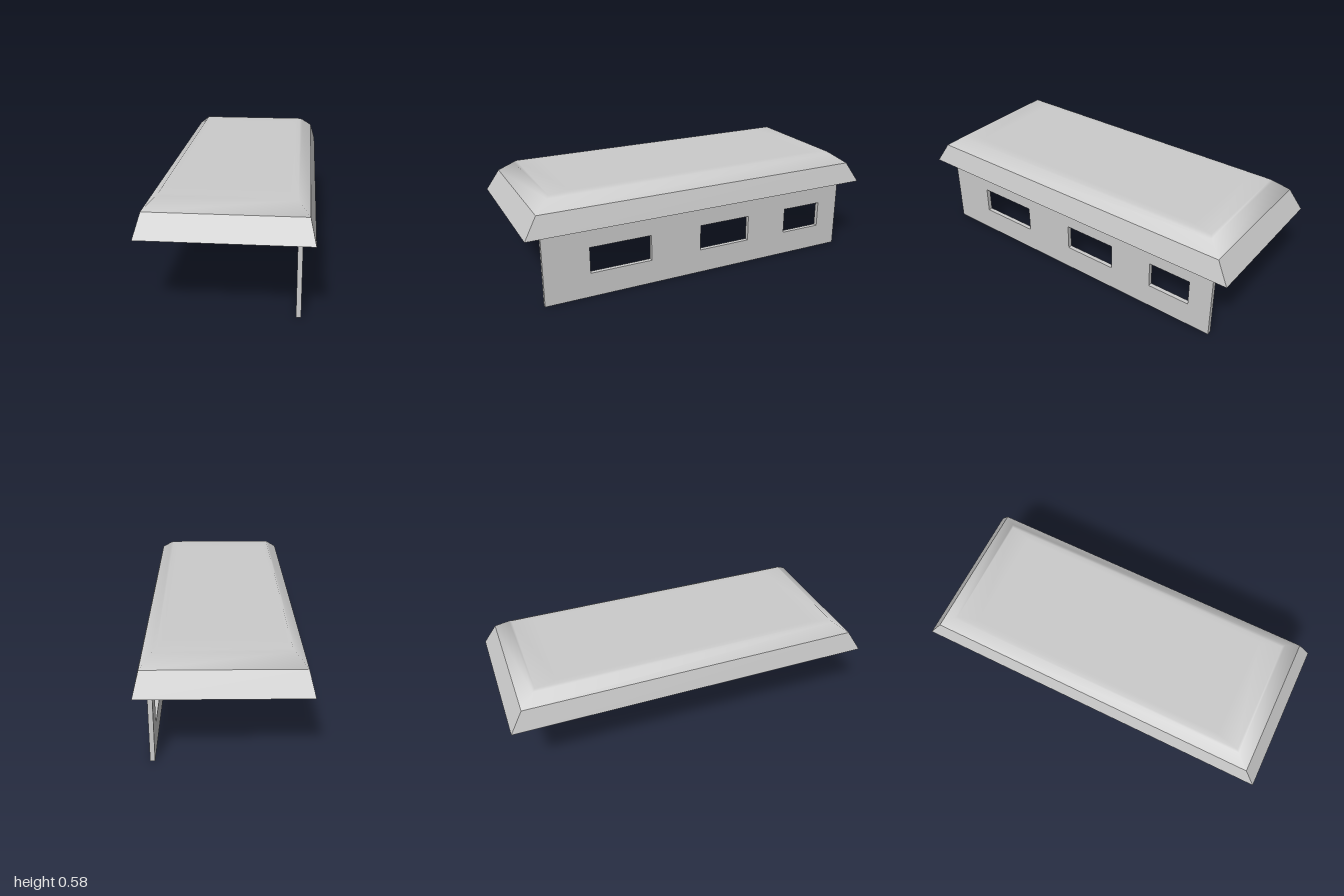
import * as THREE from 'three';

const material = new THREE.MeshStandardMaterial({ color: 0xcccccc });

// Rectangular loops [left x, right x, half depth, y], joined from bottom to top and capped
function loft(loops, capTop, capBottom) {
  const positions = [], index = [];
  for (const [l, r, z, y] of loops) positions.push(l, y, z, r, y, z, r, y, -z, l, y, -z);
  for (let i = 0; i < loops.length - 1; i++) {
    for (let j = 0; j < 4; j++) {
      const a = i * 4 + j, b = i * 4 + (j + 1) % 4;
      index.push(a, b, b + 4, a, b + 4, a + 4);
    }
  }
  const t = (loops.length - 1) * 4;
  if (capTop) index.push(t, t + 1, t + 2, t, t + 2, t + 3);
  if (capBottom) index.push(0, 2, 1, 0, 3, 2);
  const geometry = new THREE.BufferGeometry();
  geometry.setAttribute('position', new THREE.Float32BufferAttribute(positions, 3));
  geometry.setIndex(index);
  return geometry;
}

function addMesh(group, name, geometry) {
  const mesh = new THREE.Mesh(geometry, material);
  mesh.name = name;
  group.add(mesh);
  return mesh;
}

export function createModel() {
  const model = new THREE.Group();
  model.name = 'roofAndWall';

  // Sloping eaves with crisp edges and a flat underside
  const eaves = loft([
    [-0.417, 0.417, 1, 0.4],
    [-0.388, 0.388, 0.93, 0.514],
  ], false, true).toNonIndexed();
  eaves.computeVertexNormals();
  addMesh(model, 'roofEaves', eaves);

  // Softly shaded upper roof
  const crown = loft([
    [-0.388, 0.388, 0.93, 0.514],
    [-0.331, 0.33, 0.854, 0.567],
    [-0.32, 0.31, 0.84, 0.577],
    [-0.29, 0.28, 0.72, 0.577],
  ], true, false);
  crown.computeVertexNormals();
  addMesh(model, 'roofTop', crown);

  // Side wall drawn in (-z, y), then turned to run along the depth
  const rectangle = (path, z0, z1, y0, y1) => {
    path.moveTo(-z0, y0);
    path.lineTo(-z1, y0);
    path.lineTo(-z1, y1);
    path.lineTo(-z0, y1);
    path.closePath();
    return path;
  };
  const wallShape = rectangle(new THREE.Shape(), 0.91, -0.9, 0, 0.4);
  for (const [z0, z1] of [[0.66, 0.315], [0.02, -0.285], [-0.53, -0.77]]) {
    wallShape.holes.push(rectangle(new THREE.Path(), z0, z1, 0.135, 0.28));
  }
  const wall = new THREE.ExtrudeGeometry(wallShape, { depth: 0.024, bevelEnabled: false });
  wall.rotateY(Math.PI / 2);
  wall.translate(0.333, 0, 0);
  addMesh(model, 'windowWall', wall);

  return model;
}
